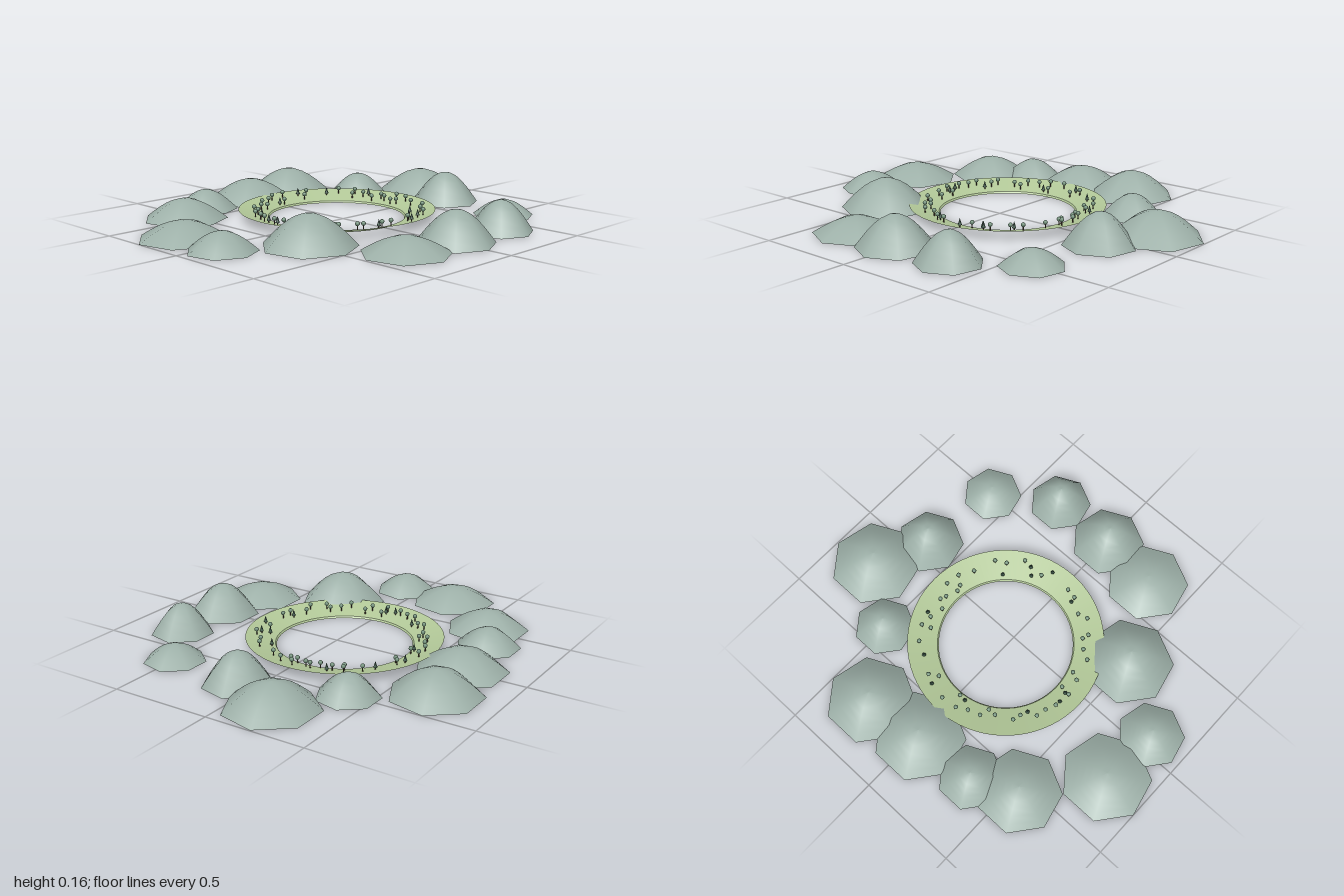
import * as THREE from 'three';

const mat = (name, color, side = THREE.FrontSide) => {
  const m = new THREE.MeshStandardMaterial({ color, side });
  m.name = name;
  return m;
};

export function createModel() {
  const model = new THREE.Group();
  model.name = 'hillRing';
  const stone = mat('greyGreenStone', 0x9db0a8, THREE.DoubleSide);
  const grass = mat('paleGrass', 0xb2c898, THREE.DoubleSide);
  const leaf = mat('leafGreen', 0x71907a);
  const pine = mat('pineGreen', 0x3f5a4c);
  const bark = mat('bark', 0x5a4a3c);
  const points = list => list.map(([x, y]) => new THREE.Vector2(x, y));

  // Open seven-sided domes, unit size, scaled per hill
  const profile = [];
  for (let i = 0; i <= 6; i++) {
    const t = 1 - i / 6;
    profile.push([t, Math.cos(t * Math.PI / 2)]);
  }
  const hillGeo = new THREE.LatheGeometry(points(profile), 7);
  // x, z, radius, height
  const hills = [
    [-0.79, -0.22, 0.216, 0.085], [-0.535, -0.545, 0.205, 0.1],
    [-0.325, -0.65, 0.158, 0.1], [-0.01, -0.67, 0.222, 0.11],
    [0.286, -0.7, 0.219, 0.125], [0.505, -0.388, 0.15, 0.11],
    [0.778, -0.18, 0.224, 0.125], [0.66, 0.09, 0.17, 0.157],
    [0.612, 0.5, 0.149, 0.08], [0.323, 0.7, 0.156, 0.15],
    [0, 0.7, 0.183, 0.155], [-0.29, 0.665, 0.205, 0.08],
    [-0.495, 0.285, 0.22, 0.15], [-0.813, 0.077, 0.162, 0.09],
  ];
  hills.forEach(([x, z, r, h], i) => {
    const hill = new THREE.Mesh(hillGeo, stone);
    hill.name = `hill${i + 1}`;
    hill.position.set(x, 0, z);
    hill.scale.set(r, h, r);
    model.add(hill);
  });

  // Sloping grass terrace with a small inner lip
  const cx = 0.008, cz = -0.05, inner = 0.334, outer = 0.478;
  const groundAt = r => {
    const t = THREE.MathUtils.clamp((r - inner) / (outer - inner), 0, 1);
    return 0.01 + 0.037 * t;
  };
  const addRing = (name, pts) => {
    const ring = new THREE.Mesh(new THREE.LatheGeometry(points(pts), 72), grass);
    ring.name = name;
    ring.position.set(cx, 0, cz);
    model.add(ring);
  };
  addRing('terrace', [[outer, groundAt(outer)], [inner, groundAt(inner)]]);
  addRing('terraceLip', [[inner, groundAt(inner)], [0.328, 0.001]]);

  // Trees on the terrace; x and z in hundredths
  const roundTrees = [
    [-5, -46], [3, -47], [16, -43], [-10, -43], [-16, -41], [-2, -40], [12, -40],
    [-17, -36], [-21, -36], [-29, -32], [31, -34], [-30, -28], [-36, -23],
    [36, -27], [32, -25], [-37, -18], [36, -21], [-39, -13], [35, -14], [39, -11],
    [-40, -5], [-35, -4], [38, -8], [42, -3], [36, -2], [-38, 3], [-34, 5],
    [37, 1], [41, 4], [-35, 14], [-30, 17], [-26, 21], [-27, 24], [37, 11],
    [33, 22], [28, 25], [-21, 30], [-16, 29], [-9, 34], [-4, 35], [11, 32], [22, 32],
  ];
  const pineTrees = [
    [12, -45], [-5, -40], [25, -37], [-31, -24], [39, -20], [-39, -10],
    [-38, -5], [26, 20], [-9, 32], [8, 37], [15, 29], [18, 32],
  ];
  const trunkGeo = new THREE.CylinderGeometry(0.0025, 0.003, 0.02, 5).translate(0, 0.01, 0);
  const crownGeo = new THREE.SphereGeometry(0.011, 8, 6).translate(0, 0.028, 0);
  const coneGeo = new THREE.ConeGeometry(0.01, 0.032, 7).translate(0, 0.026, 0);
  const plant = (list, name, geo, material) => list.forEach(([px, pz]) => {
    const x = px / 100, z = pz / 100;
    const tree = new THREE.Group();
    tree.name = name;
    const trunk = new THREE.Mesh(trunkGeo, bark);
    trunk.name = 'trunk';
    const crown = new THREE.Mesh(geo, material);
    crown.name = 'crown';
    tree.add(trunk, crown);
    tree.position.set(x, groundAt(Math.hypot(x - cx, z - cz)), z);
    model.add(tree);
  });
  plant(roundTrees, 'roundTree', crownGeo, leaf);
  plant(pineTrees, 'pineTree', coneGeo, pine);

  return model;
}
